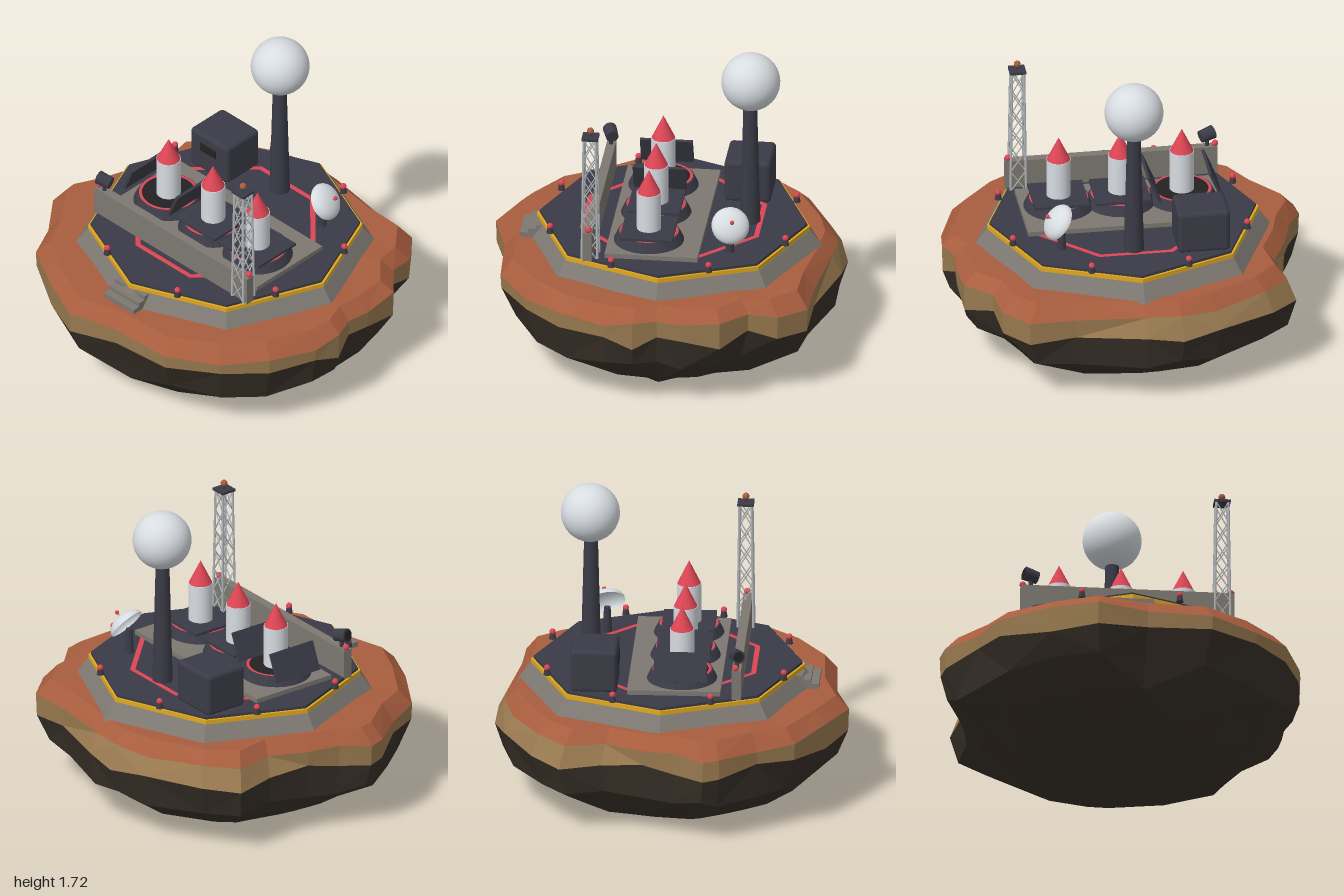
import * as THREE from 'three';
import { RoundedBoxGeometry } from 'three/addons/geometries/RoundedBoxGeometry.js';

const mat = (name, color, opts = {}) => Object.assign(new THREE.MeshStandardMaterial({ color, ...opts }), { name });

export function createModel() {
  const rust = mat('rust soil', 0xa85d3e, { flatShading: true });
  const tan = mat('tan rock', 0x997a50, { flatShading: true });
  const rock = mat('dark rock', 0x383028, { flatShading: true });
  const concrete = mat('concrete', 0x7d7871, { flatShading: true });
  const dark = mat('dark plating', 0x3b3b47);
  const red = mat('signal red', 0xdd4554);
  const white = mat('white shell', 0xd8dde2, { side: THREE.DoubleSide });
  const yellow = mat('hazard yellow', 0xe0a81e);
  const black = mat('black', 0x222222);
  const steel = mat('steel', 0xb4b8bb);

  const model = new THREE.Group();
  model.name = 'floatingBase';
  const add = (name, geo, m, x = 0, y = 0, z = 0, parent = model) => {
    const mesh = new THREE.Mesh(geo, m);
    mesh.name = name;
    mesh.position.set(x, y, z);
    parent.add(mesh);
    return mesh;
  };
  const group = (name, x = 0, y = 0, z = 0) => {
    const g = new THREE.Group();
    g.name = name;
    g.position.set(x, y, z);
    model.add(g);
    return g;
  };
  const box = (w, h, d) => new THREE.BoxGeometry(w, h, d);
  const cyl = (rt, rb, h, n = 24) => new THREE.CylinderGeometry(rt, rb, h, n);
  const ball = r => new THREE.SphereGeometry(r, 16, 12);
  const flatRing = (a, b, n) => new THREE.RingGeometry(a, b, n).rotateX(-Math.PI / 2);
  // thin bar between two points
  const bar = (name, a, b, r, m, parent) => {
    const d = b.clone().sub(a);
    const mesh = add(name, cyl(r, r, d.length(), 6), m, 0, 0, 0, parent);
    mesh.position.copy(a).add(b).multiplyScalar(0.5);
    mesh.quaternion.setFromUnitVectors(new THREE.Vector3(0, 1, 0), d.normalize());
  };
  let seed = 7;
  const rnd = () => (seed = (seed * 16807) % 2147483647) / 2147483647 * 2 - 1;

  // Rock island: one plan outline, scaled at each level
  const plan = [[.01, -.97], [.4, -.86], [.65, -.85], [.78, -.7], [.81, -.54], [.95, -.4], [.96, -.19], [.95, -.05],
    [1, .08], [.98, .24], [.88, .5], [.7, .7], [.44, .87], [.08, .89], [-.2, .97], [-.45, .86], [-.72, .7], [-.82, .5],
    [-.98, .3], [-1, .21], [-.92, .05], [-.87, -.13], [-.83, -.36], [-.87, -.59], [-.72, -.75], [-.4, -.92], [-.19, -.98]];
  const levels = [[0, .6, 0], [.1, .8, .03], [.24, .93, .03], [.4, .99, .035], [.51, .995, .02], [.59, .92, .005]];
  const rings = levels.map(([y, s, jitter], k) => plan.map(([x, z]) => {
    const r = Math.hypot(x, z);
    const round = k < 2 ? THREE.MathUtils.lerp(0.94, r, 0.35) / r : 1; // the underside is rounder
    const back = k > 3 && z < -0.3 && x < 0.3 ? 0.94 : 1;                // tan band shows more at the back
    const f = s * round * back * (k > 0 && k < 3 ? 1 + 0.03 * rnd() : 1);
    return [x * f, y + jitter * rnd(), z * f];
  }));
  const n = plan.length;
  const layer = (name, from, to, m, cap) => {
    const p = [];
    for (let k = from; k < to; k++) for (let j = 0; j < n; j++) {
      const i = (j + 1) % n, a = rings[k][j], b = rings[k][i], c = rings[k + 1][j], d = rings[k + 1][i];
      if ((j + k) % 2) p.push(a, c, b, b, c, d);
      else p.push(a, c, d, a, d, b);
    }
    for (let j = 0; j < n; j++) {
      const i = (j + 1) % n;
      if (cap === 'bottom') p.push([0, 0, 0], rings[0][j], rings[0][i]);
      if (cap === 'top') p.push([0, .595, 0], rings[to][i], rings[to][j]);
    }
    const g = new THREE.BufferGeometry();
    g.setAttribute('position', new THREE.Float32BufferAttribute(p.flat(), 3));
    g.computeVertexNormals();
    add(name, g, m);
  };
  layer('rockUnderside', 0, 3, rock, 'bottom');
  layer('rockTanBand', 3, 4, tan);
  layer('rockTop', 4, 5, rust, 'top');

  // Octagonal platform
  const cx = 0.014, cz = -0.035;
  const oct = (name, rt, rb, y0, y1, m) => {
    const g = cyl(rt, rb, y1 - y0, 8).toNonIndexed();
    g.computeVertexNormals();
    add(name, g, m, cx, (y0 + y1) / 2, cz);
  };
  oct('foundation', .752, .822, .575, .67, concrete);
  oct('hazardEdge', .749, .749, .67, .694, yellow);
  oct('deck', .735, .735, .694, .709, dark);
  add('deckMarking', flatRing(.502, .532, 8).rotateY(Math.PI / 8), red, cx, .712, cz);
  for (let i = 0; i < 3; i++) {
    const top = .622 + i * .024, front = .795 - i * .043;
    add('step', box(.225, top - .575, front - .6), concrete, cx, (top + .575) / 2, (front + .6) / 2);
  }

  // Edge lights
  for (let i = 0; i < 8; i++) {
    const a = (i + .5) * Math.PI / 4;
    const g = group('edgeLight', cx + .7 * Math.sin(a), .705, cz + .7 * Math.cos(a));
    add('lightPost', cyl(.014, .02, .035, 12), dark, 0, .0175, 0, g);
    add('lightLamp', ball(.017), red, 0, .041, 0, g);
  }

  // Launch pad with three silos
  add('launchPad', box(1.1, .04, .51), concrete, cx, .715, .025);
  [-.34, 0, .34].forEach((x, i) => {
    const s = group('silo', cx + x, 0, .06);
    add('collar', cyl(.168, .195, .055, 32), dark, 0, .7575, 0, s);
    add('collarStripe', flatRing(.146, .162, 32), red, 0, .788, 0, s);
    add('shaft', flatRing(.001, .146, 32), black, 0, .787, 0, s);
    add('missileBody', cyl(.067, .067, .24), white, 0, .9, 0, s);
    add('missileNose', new THREE.ConeGeometry(.064, .132, 24), red, 0, 1.086, 0, s);
    if (i > 0) for (const k of [-1, 1])
      add('closedHatch', box(.15, .014, .29), dark, k * .076, .796, 0, s);
    if (i < 2) add('raisedHatch', box(.016, .165, .29), dark, -.168, .86, 0, s).rotation.z = -.4;
  });

  // Blast wall with end lamps and floodlight
  add('blastWall', box(1.17, .17, .05), concrete, .018, .787, .37);
  for (const x of [-.555, .588]) add('wallLamp', ball(.018), red, x, .885, .365);
  const flood = group('floodlight', -.512, .935, .37);
  add('floodPost', cyl(.012, .012, .07, 10), dark, 0, -.035, 0, flood);
  const head = group('floodHead');
  flood.add(head);
  head.rotation.set(0, .3, -.2);
  add('floodDrum', cyl(.034, .038, .08).rotateZ(-Math.PI / 2), dark, 0, .005, 0, head);
  add('floodLens', cyl(.028, .028, .006).rotateZ(-Math.PI / 2), black, -.041, .005, 0, head);

  // Lattice tower
  const tower = group('latticeTower', .537, .7, .36);
  const H = .72, bays = 6;
  const corner = (c, y) => {
    const w = .043 - .01 * y / H;
    return new THREE.Vector3([-1, 1, 1, -1][c % 4] * w, y, [1, 1, -1, -1][c % 4] * w);
  };
  for (let c = 0; c < 4; c++) {
    bar('towerLeg', corner(c, 0), corner(c, H), .007, steel, tower);
    for (let k = 0; k < bays; k++) {
      const y0 = k * H / bays, y1 = (k + 1) * H / bays;
      bar('towerBrace', corner(c, y0), corner(c + 1, y1), .0035, steel, tower);
      bar('towerBrace', corner(c + 1, y0), corner(c, y1), .0035, steel, tower);
    }
  }
  add('towerCap', box(.09, .014, .09), dark, 0, .725, 0, tower);
  add('beaconStem', cyl(.005, .005, .03, 8), dark, 0, .743, 0, tower);
  add('beacon', ball(.019), rust, 0, .763, 0, tower);

  // Radar dome on a column
  add('domeColumn', cyl(.037, .056, .74, 16), dark, .016, 1.07, -.457);
  add('radarDome', new THREE.SphereGeometry(.161, 40, 28), white, .016, 1.555, -.46);

  // Bunker
  add('bunker', new RoundedBoxGeometry(.288, .245, .255, 3, .025), dark, -.361, .822, -.413);
  add('bunkerVent', box(.12, .05, .008), black, -.361, .86, -.285);

  // Satellite dish: a shallow shell whose crown points along its local +y
  add('dishPost', cyl(.018, .026, .15, 12), dark, .405, .775, -.39);
  const dish = group('dish', .42, .872, -.395);
  dish.quaternion.setFromUnitVectors(new THREE.Vector3(0, 1, 0), new THREE.Vector3(.77, .6, -.2).normalize());
  const shell = [];
  for (let i = 0; i <= 8; i++) {
    const a = i / 8 * Math.PI / 2;
    shell.push(new THREE.Vector2(.104 * Math.cos(a), .06 * Math.sin(a)));
  }
  add('dishShell', new THREE.LatheGeometry(shell, 28), white, 0, 0, 0, dish);
  add('dishFeed', cyl(.004, .004, .03, 8), steel, 0, .07, 0, dish);
  add('dishTip', ball(.012), red, 0, .085, 0, dish);

  return model;
}
